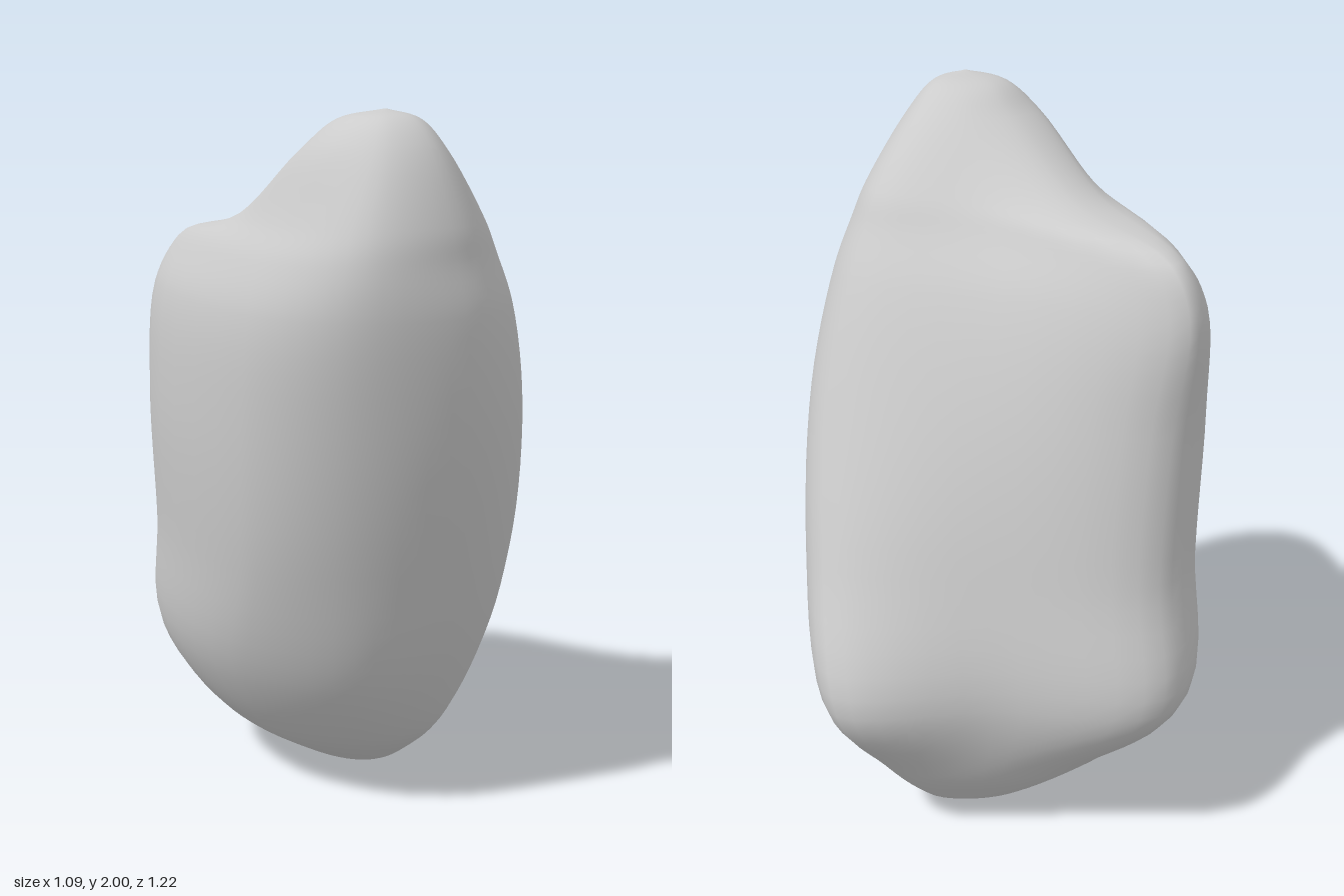
import * as THREE from 'three';

// Horizontal sections: height, then eight [x, z] points running
// front, front +x, +x side, back +x, back, back -x, -x side, front -x
const SECTIONS = [
  [0.20, [[0.07, 0.12], [0.28, 0.03], [0.36, -0.20], [0.32, -0.44], [0.05, -0.49], [-0.22, -0.43], [-0.35, -0.27], [-0.20, 0.01]]],
  [0.45, [[0.04, 0.31], [0.34, 0.16], [0.49, -0.25], [0.43, -0.59], [0.02, -0.56], [-0.42, -0.58], [-0.53, -0.30], [-0.30, 0.16]]],
  [0.80, [[0.03, 0.44], [0.37, 0.30], [0.54, -0.12], [0.47, -0.43], [0.04, -0.50], [-0.41, -0.52], [-0.53, -0.25], [-0.27, 0.33]]],
  [1.20, [[0.03, 0.55], [0.37, 0.43], [0.53, 0.02], [0.47, -0.23], [0.03, -0.40], [-0.43, -0.49], [-0.54, -0.25], [-0.26, 0.42]]],
  [1.50, [[0.03, 0.61], [0.34, 0.49], [0.47, 0.16], [0.41, -0.11], [0.00, -0.29], [-0.46, -0.49], [-0.52, -0.31], [-0.24, 0.45]]],
  [1.63, [[0.04, 0.61], [0.31, 0.49], [0.42, 0.20], [0.37, -0.05], [0.00, -0.20], [-0.41, -0.44], [-0.45, -0.37], [-0.21, 0.42]]],
  [1.72, [[0.05, 0.59], [0.29, 0.49], [0.38, 0.24], [0.34, -0.01], [0.08, -0.10], [-0.18, -0.14], [-0.26, -0.01], [-0.16, 0.40]]],
  [1.90, [[0.09, 0.51], [0.23, 0.45], [0.27, 0.30], [0.24, 0.13], [0.11, 0.08], [-0.03, 0.12], [-0.10, 0.26], [-0.04, 0.43]]],
];
const BOTTOM = [0.12, -0.26], TOP = [0.11, 0.34];
const AROUND = 48, STEPS = 6;

// Shrinks a section towards a pole to round off an end
function cap(y, points, pole, s) {
  return [y, points.map(([x, z]) => [pole[0] + (x - pole[0]) * s, pole[1] + (z - pole[1]) * s])];
}

function stoneGeometry() {
  const first = SECTIONS[0][1], last = SECTIONS[SECTIONS.length - 1][1];
  const rings = [
    cap(0, first, BOTTOM, 0.01), cap(0.02, first, BOTTOM, 0.32), cap(0.08, first, BOTTOM, 0.6),
    ...SECTIONS,
    cap(1.975, last, TOP, 0.57), cap(2, last, TOP, 0.01),
  ];

  // Eight smooth columns run from pole to pole
  const columns = first.map((_, k) => new THREE.CatmullRomCurve3(
    rings.map(([y, pts]) => new THREE.Vector3(pts[k][0], y, pts[k][1]))));

  // Each level is a closed curve through the columns
  const rows = (rings.length - 1) * STEPS;
  const positions = [], index = [];
  for (let i = 0; i <= rows; i++) {
    const loop = new THREE.CatmullRomCurve3(columns.map((c) => c.getPoint(i / rows)), true);
    for (let j = 0; j < AROUND; j++) {
      const p = loop.getPoint(j / AROUND);
      positions.push(p.x, THREE.MathUtils.clamp(p.y, 0, 2), p.z);
    }
  }
  for (let i = 0; i < rows; i++) {
    for (let j = 0; j < AROUND; j++) {
      const a = i * AROUND + j, b = i * AROUND + (j + 1) % AROUND;
      index.push(a, b, b + AROUND, a, b + AROUND, a + AROUND);
    }
  }

  // Close both ends
  const low = positions.length / 3, high = low + 1, end = rows * AROUND;
  positions.push(BOTTOM[0], 0, BOTTOM[1], TOP[0], 2, TOP[1]);
  for (let j = 0; j < AROUND; j++) {
    const n = (j + 1) % AROUND;
    index.push(low, n, j, high, end + j, end + n);
  }

  const geometry = new THREE.BufferGeometry();
  geometry.setAttribute('position', new THREE.Float32BufferAttribute(positions, 3));
  geometry.setIndex(index);
  geometry.computeVertexNormals();
  return geometry;
}

export function createModel() {
  const group = new THREE.Group();
  group.name = 'rock';
  const stone = new THREE.Mesh(stoneGeometry(), new THREE.MeshStandardMaterial({ color: 0xcccccc }));
  stone.name = 'stone';
  group.add(stone);
  return group;
}
